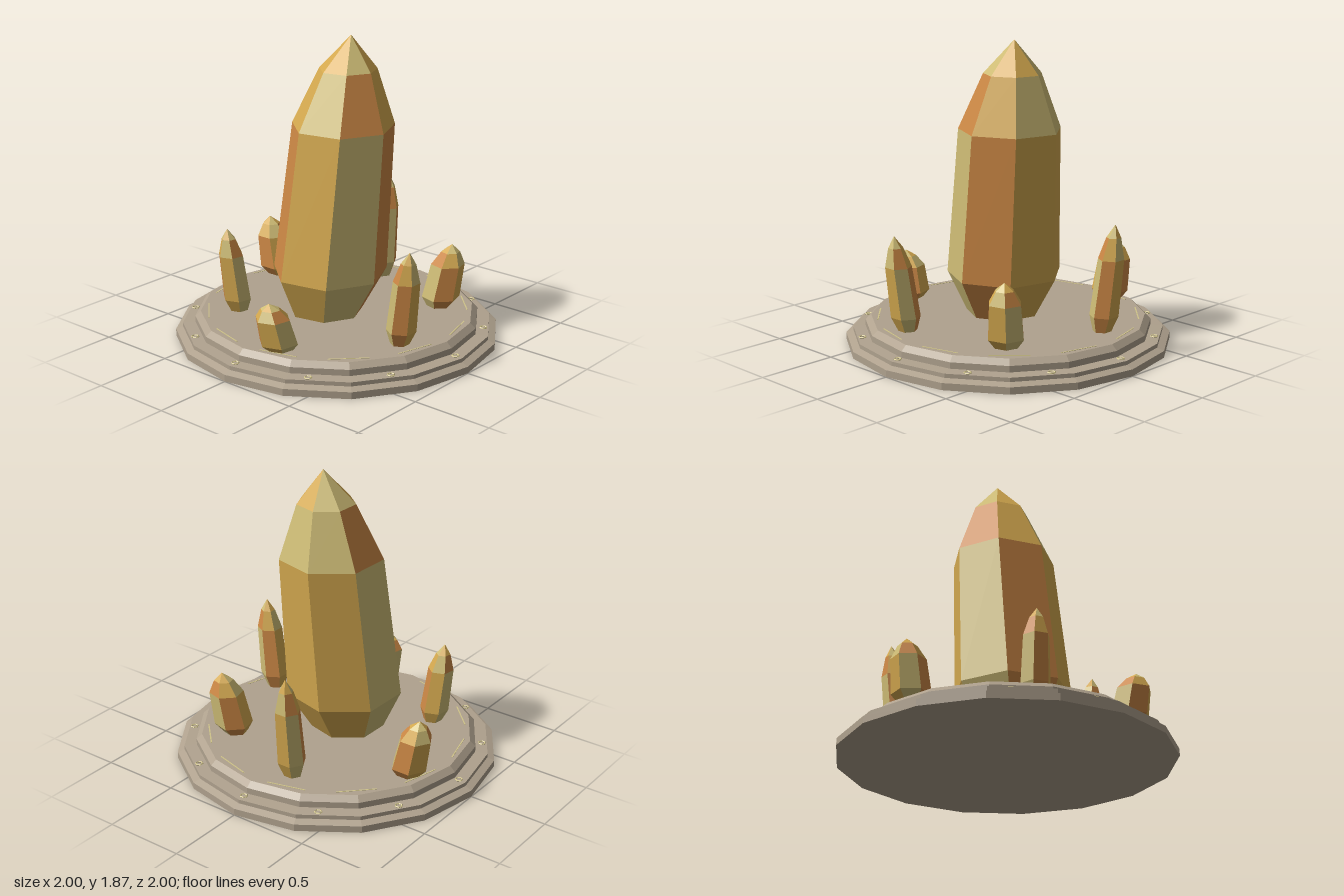
import * as THREE from 'three';

const mat = (name, color) => {
  const m = new THREE.MeshStandardMaterial({ color, flatShading: true });
  m.name = name;
  return m;
};

const FLOOR = 0.157;
// [height fraction, radius fraction] of each crystal ring
const RINGS = [[0, 0.64], [0.147, 1], [0.68, 0.89], [0.88, 0.5], [1, 0]];
const TIP_COLOURS = [1, 1, 0, 0, 1, 0, 0];

// Faceted leaning crystal; facet colours cycle round each band
function crystal(name, materials, { base, tip, r, sides, phase, start }) {
  const rings = RINGS.map(([t, s]) => Array.from({ length: sides }, (_, k) => {
    const a = THREE.MathUtils.degToRad(phase) + (k / sides) * Math.PI * 2;
    return [
      THREE.MathUtils.lerp(base[0], tip[0], t) + Math.sin(a) * r * s,
      THREE.MathUtils.lerp(FLOOR, tip[1], t),
      THREE.MathUtils.lerp(base[1], tip[2], t) + Math.cos(a) * r * s,
    ];
  }));
  const pos = [];
  const geo = new THREE.BufferGeometry();
  for (let b = 0; b < rings.length - 1; b++) {
    for (let k = 0; k < sides; k++) {
      const n = (k + 1) % sides;
      const [p, q, u, v] = [rings[b][k], rings[b][n], rings[b + 1][n], rings[b + 1][k]];
      const first = pos.length / 3;
      pos.push(...p, ...q, ...u);
      if (b < 3) pos.push(...p, ...u, ...v);
      const colour = b === 3 ? TIP_COLOURS[k] : (start + k + (b === 2 ? 1 : 0)) % 3;
      geo.addGroup(first, pos.length / 3 - first, colour);
    }
  }
  geo.setAttribute('position', new THREE.Float32BufferAttribute(pos, 3));
  geo.computeVertexNormals();
  const mesh = new THREE.Mesh(geo, materials);
  mesh.name = name;
  return mesh;
}

export function createModel() {
  const model = new THREE.Group();
  model.name = 'crystalCluster';
  const stone = mat('stone', 0xb0a28e);
  const trim = mat('paleGold', 0xcfc38a);
  const facets = [mat('gold', 0xd4a94f), mat('khaki', 0xcfbd76), mat('orange', 0xcc8845)];

  // Stepped sixteen-sided plinth
  const profile = [[0, 0], [1, 0], [1, 0.042], [0.957, 0.058], [0.957, 0.083],
    [0.88, 0.087], [0.88, 0.125], [0.845, FLOOR], [0, FLOOR]]
    .map(([x, y]) => new THREE.Vector2(x, y));
  const plinth = new THREE.Mesh(new THREE.LatheGeometry(profile, 16), stone);
  plinth.name = 'plinth';
  model.add(plinth);

  // Small rings on the step and thin inlay bars on the floor
  const ringGeo = new THREE.TorusGeometry(0.021, 0.005, 4, 6).rotateX(Math.PI / 2);
  const barGeo = new THREE.BoxGeometry(0.24, 0.004, 0.008);
  for (let i = 0; i < 12; i++) {
    const a = (i / 12) * Math.PI * 2;
    const ring = new THREE.Mesh(ringGeo, trim);
    ring.name = 'stepRing';
    ring.position.set(Math.sin(a) * 0.91, 0.087, Math.cos(a) * 0.91);
    ring.rotation.y = a;
    const bar = new THREE.Mesh(barGeo, trim);
    bar.name = 'floorInlay';
    const c = a + Math.PI / 12;
    bar.position.set(Math.sin(c) * 0.795, FLOOR, Math.cos(c) * 0.795);
    bar.rotation.y = c;
    model.add(ring, bar);
  }

  // Tall central crystal
  model.add(crystal('mainCrystal', facets,
    { base: [-0.072, -0.03], tip: [0.085, 1.865, 0.035], r: 0.358, sides: 7, phase: 101.5, start: 0 }));

  // Ring of small crystals
  const small = [
    { base: [0.22, -0.69], tip: [0.22, 0.53, -0.765], r: 0.115, phase: 60, start: 2 },
    { base: [-0.42, -0.44], tip: [-0.46, 0.68, -0.49], r: 0.09, phase: -40, start: 1 },
    { base: [0.635, -0.15], tip: [0.715, 0.82, -0.165], r: 0.088, phase: -60, start: 1 },
    { base: [0.435, 0.46], tip: [0.48, 0.56, 0.52], r: 0.118, phase: -75, start: 2 },
    { base: [-0.705, 0.168], tip: [-0.775, 0.45, 0.145], r: 0.12, phase: -40, start: 1 },
    { base: [-0.2, 0.65], tip: [-0.22, 0.745, 0.73], r: 0.09, phase: -30, start: 0 },
  ];
  for (const s of small) model.add(crystal('smallCrystal', facets, { ...s, sides: 6 }));
  return model;
}
